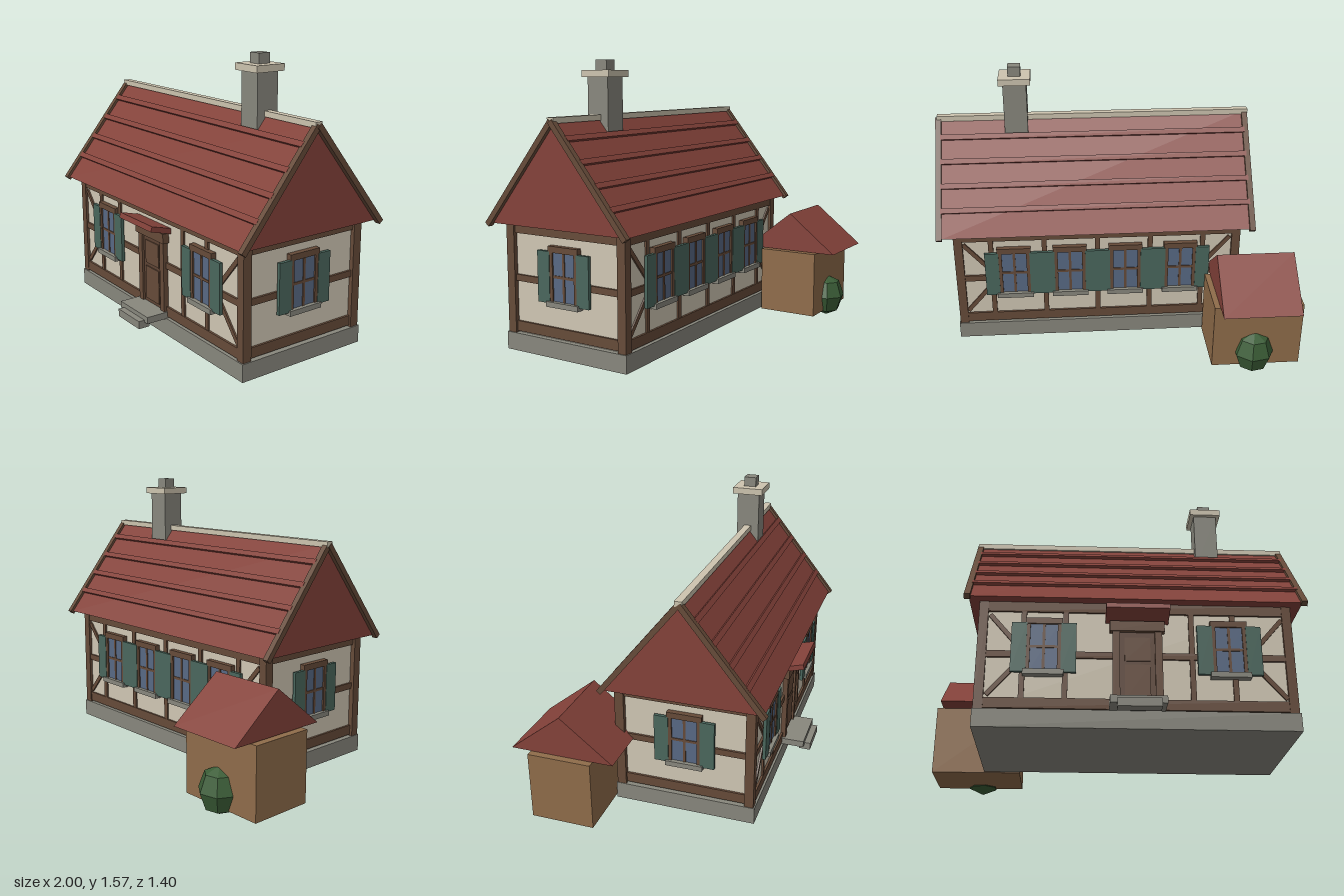
import * as THREE from 'three';

const mat = (name, color) => {
  const m = new THREE.MeshStandardMaterial({ color });
  m.name = name;
  return m;
};

export function createModel() {
  const plaster = mat('cream plaster', 0xd0c7b4);
  const timber = mat('timber brown', 0x664b39);
  const doorWood = mat('door brown', 0x5e4434);
  const roofRed = mat('roof red', 0x84423a);
  const stone = mat('grey stone', 0x88877d);
  const trim = mat('pale stone', 0xcdc4af);
  const teal = mat('shutter teal', 0x4a675d);
  const glass = mat('window blue', 0x586984);
  const shedWood = mat('shed tan', 0x8f6c4a);
  const leaf = mat('bush green', 0x3a5c36);

  const model = new THREE.Group();
  model.name = 'cottage';

  const box = (parent, name, m, w, h, d, x, y, z) => {
    const mesh = new THREE.Mesh(new THREE.BoxGeometry(w, h, d), m);
    mesh.name = name;
    mesh.position.set(x, y, z);
    parent.add(mesh);
    return mesh;
  };
  // Box given by its lower and upper corners
  const span = (parent, name, m, x0, x1, y0, y1, z0, z1) =>
    box(parent, name, m, x1 - x0, y1 - y0, z1 - z0, (x0 + x1) / 2, (y0 + y1) / 2, (z0 + z1) / 2);
  // Solid gable roof with its ridge along x
  const gable = (name, x0, x1, zMid, half, y0, y1) => {
    const s = new THREE.Shape([
      new THREE.Vector2(-half, y0), new THREE.Vector2(half, y0), new THREE.Vector2(0, y1)]);
    const g = new THREE.ExtrudeGeometry(s, { depth: x1 - x0, bevelEnabled: false });
    g.rotateY(Math.PI / 2);
    const mesh = new THREE.Mesh(g, roofRed);
    mesh.name = name;
    mesh.position.set(x0, 0, zMid);
    model.add(mesh);
  };

  const CX = 0.11, CZ = 0.16;

  // Base and walls
  span(model, 'foundation', stone, -0.705, 0.92, 0.045, 0.14, -0.23, 0.547);
  span(model, 'walls', plaster, -0.675, 0.89, 0.14, 0.74, -0.208, 0.525);
  for (const x of [-0.678, 0.89])
    for (const z of [-0.2, 0.515]) box(model, 'cornerPost', timber, 0.048, 0.59, 0.05, x, 0.435, z);

  // A window faces local +z, with shutters, frame, cross bars and sill
  const addWindow = (wall, u) => {
    const w = new THREE.Group();
    w.name = 'window';
    w.position.x = u;
    wall.add(w);
    box(w, 'glass', glass, 0.15, 0.27, 0.012, 0, 0.47, 0.014);
    box(w, 'lintel', timber, 0.19, 0.033, 0.03, 0, 0.617, 0.015);
    box(w, 'sill', stone, 0.205, 0.028, 0.045, 0, 0.332, 0.02);
    box(w, 'mullion', timber, 0.014, 0.26, 0.024, 0, 0.472, 0.012);
    box(w, 'crossBar', timber, 0.15, 0.014, 0.024, 0, 0.475, 0.012);
    for (const s of [-1, 1]) {
      box(w, 'frameSide', timber, 0.022, 0.26, 0.028, s * 0.08, 0.472, 0.014);
      box(w, 'shutter', teal, 0.078, 0.27, 0.018, s * 0.126, 0.47, 0.022);
    }
  };

  // Timber framing on one wall: rails, posts, corner braces and windows
  const addWall = (name, x, z, turn, half, posts, windows, brace) => {
    const wall = new THREE.Group();
    wall.name = name;
    wall.position.set(x, 0, z);
    wall.rotation.y = turn;
    model.add(wall);
    for (const [y, h] of [[0.175, 0.055], [0.437, 0.035], [0.703, 0.055]])
      box(wall, 'rail', timber, half * 2, h, 0.016, 0, y, 0.004);
    for (const u of posts) box(wall, 'post', timber, 0.028, 0.51, 0.014, u, 0.44, 0.003);
    if (brace) for (const s of [-1, 1]) for (const v of [-1, 1]) {
      const b = box(wall, 'brace', timber, 0.27, 0.024, 0.012, s * 0.665, 0.437 + v * 0.117, 0.003);
      b.rotation.z = s * v * 0.86;
    }
    windows.forEach((u) => addWindow(wall, u));
    return wall;
  };
  const front = addWall('frontWall', CX, 0.525, 0, 0.77,
    [-0.58, -0.365, 0.28, 0.495], [-0.475, 0.47], true);
  addWall('backWall', CX, -0.208, Math.PI, 0.77,
    [-0.6, -0.3, 0, 0.3, 0.6], [-0.4725, -0.1575, 0.1575, 0.4725], true);
  addWall('leftWall', 0.89, CZ, Math.PI / 2, 0.34, [], [0], false);
  addWall('rightWall', -0.675, CZ, -Math.PI / 2, 0.34, [], [0], false);

  // Door with frame, panels, canopy and steps
  const door = new THREE.Group();
  door.name = 'door';
  front.add(door);
  box(door, 'doorLeaf', doorWood, 0.19, 0.4, 0.018, 0, 0.365, 0.006);
  for (const [y, h] of [[0.29, 0.19], [0.47, 0.13]])
    box(door, 'doorPanel', timber, 0.13, h, 0.008, 0, y, 0.017);
  for (const s of [-1, 1]) box(door, 'doorJamb', timber, 0.038, 0.43, 0.03, s * 0.108, 0.365, 0.013);
  box(door, 'doorLintel', timber, 0.28, 0.055, 0.045, 0, 0.593, 0.015);
  const canopy = box(door, 'canopy', roofRed, 0.325, 0.03, 0.13, 0, 0.652, 0.057);
  canopy.rotation.x = -0.26;
  span(model, 'upperStep', stone, -0.035, 0.245, 0.138, 0.175, 0.53, 0.665);
  span(model, 'lowerStep', stone, 0, 0.215, 0.107, 0.15, 0.635, 0.7);

  // Main roof with raised tile courses and verge boards
  const X0 = -0.755, X1 = 0.97, EAVE = 0.73, RIDGE = 1.27, RUN = 0.435;
  gable('roof', X0, X1, CZ, RUN, EAVE, RIDGE);
  const angle = Math.atan2(RIDGE - EAVE, RUN);
  const slope = Math.hypot(RIDGE - EAVE, RUN);
  for (const s of [-1, 1]) {
    const side = new THREE.Group();
    side.name = 'roofSlope';
    side.position.set(CX, RIDGE, CZ);
    side.rotation.order = 'YXZ';
    side.rotation.set(angle, s < 0 ? Math.PI : 0, 0);
    model.add(side);
    for (const y of [1.18, 1.07, 0.96, 0.852])
      box(side, 'tileCourse', roofRed, X1 - X0, 0.024, 0.03, 0, 0.004, (RIDGE - y) / Math.sin(angle));
    for (const x of [X0 - 0.007, X1 + 0.007])
      box(side, 'vergeBoard', timber, 0.032, 0.03, slope + 0.01, x - CX, 0, slope / 2 + 0.005);
  }
  span(model, 'ridgeCap', trim, -0.775, 0.99, 1.258, 1.288, 0.14, 0.18);

  // Chimney
  span(model, 'chimney', stone, 0.48, 0.61, 1.15, 1.485, 0.095, 0.225);
  span(model, 'chimneyCap', trim, 0.457, 0.633, 1.482, 1.518, 0.072, 0.248);
  span(model, 'chimneyPot', stone, 0.51, 0.58, 1.515, 1.572, 0.125, 0.195);

  // Shed behind the house
  span(model, 'shed', shedWood, -1, -0.507, 0.043, 0.425, -0.593, -0.243);
  gable('shedRoof', -0.967, -0.537, -0.415, 0.285, 0.428, 0.655);

  // Faceted bush against the shed
  const bushGeo = new THREE.SphereGeometry(0.115, 7, 4).toNonIndexed();
  bushGeo.scale(1, 1.1, 0.95);
  bushGeo.computeVertexNormals();
  const bush = new THREE.Mesh(bushGeo, leaf);
  bush.name = 'bush';
  bush.position.set(-0.74, 0.128, -0.58);
  model.add(bush);

  return model;
}
